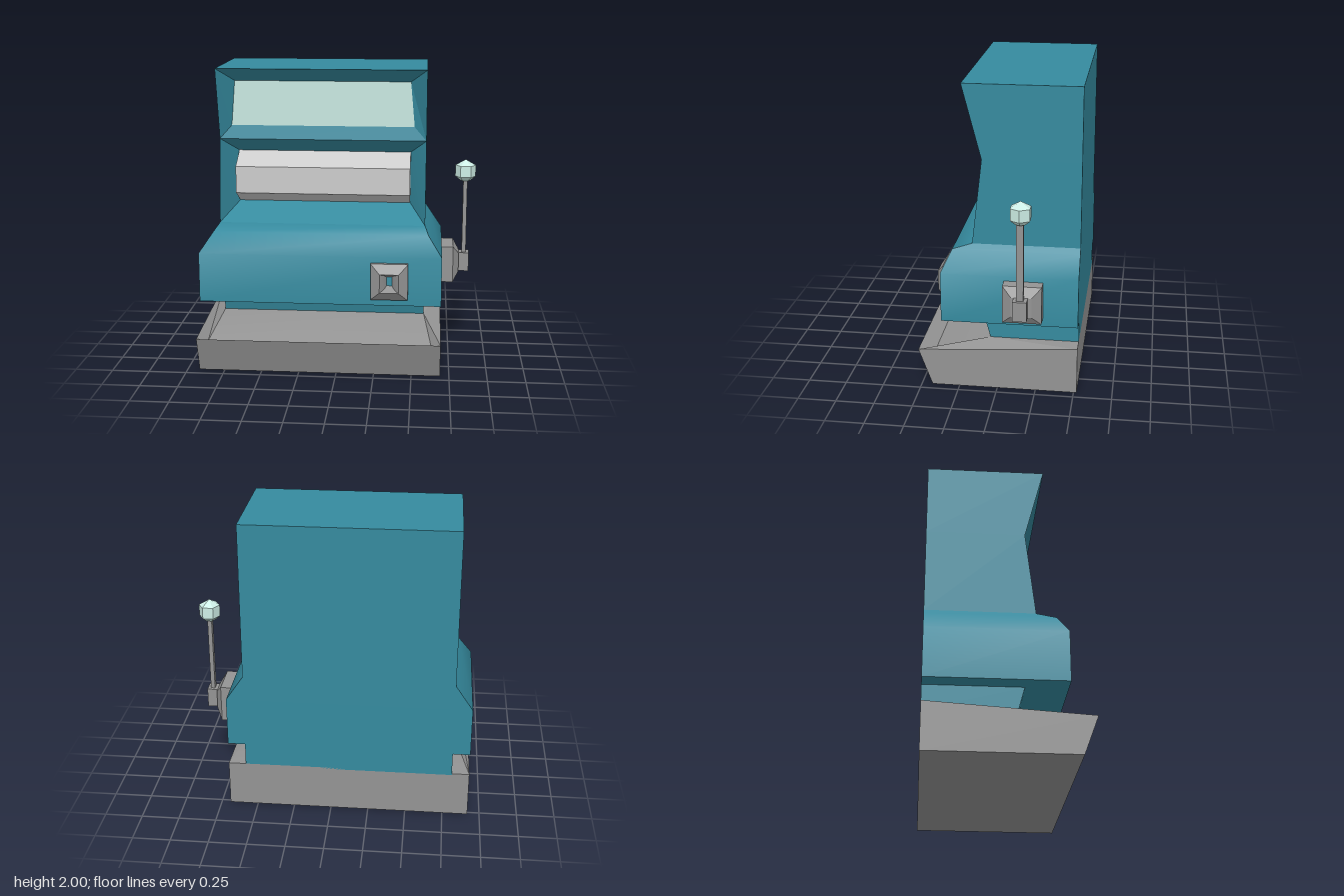
import * as THREE from 'three';
import { toCreasedNormals } from 'three/addons/utils/BufferGeometryUtils.js';

const mat = (color) => new THREE.MeshStandardMaterial({ color });

// Joins rings of corners; each ring runs counter-clockwise seen from the far end.
function loft(rings, { start = false, end = false, skip = -1, crease = 0.3 } = {}) {
  const pos = [];
  const face = (pts) => {
    for (let i = 1; i < pts.length - 1; i++) pos.push(...pts[0], ...pts[i], ...pts[i + 1]);
  };
  for (let r = 0; r < rings.length - 1; r++) {
    const a = rings[r], b = rings[r + 1], n = a.length;
    for (let i = 0; i < n; i++) {
      if (i === skip) continue;
      const j = (i + 1) % n;
      face([a[i], a[j], b[j], b[i]]);
    }
  }
  if (start) face([...rings[0]].reverse());
  if (end) face(rings[rings.length - 1]);
  const g = new THREE.BufferGeometry();
  g.setAttribute('position', new THREE.Float32BufferAttribute(pos, 3));
  g.computeVertexNormals();
  return toCreasedNormals(g, crease);
}

const BACK = -0.52;
// Level rectangle reaching from the back plane to zf
const level = (y, hw, zf) => [[-hw, y, zf], [hw, y, zf], [hw, y, BACK], [-hw, y, BACK]];
// Front-facing trapezoid, given by its lower and upper edges
const front = (y0, z0, h0, y1, z1, h1) => [[-h0, y0, z0], [h0, y0, z0], [h1, y1, z1], [-h1, y1, z1]];
// Upright rectangle centred on the origin, at depth z
const plate = (hx, hy, z) => front(-hy, z, hx, hy, z, hx);

export function createModel() {
  const root = new THREE.Group();
  root.name = 'slotMachine';
  const body = new THREE.Group();
  body.name = 'machine';
  body.position.x = -0.115;
  root.add(body);

  const teal = mat(0x358a9e), dark = mat(0x949494), grey = mat(0xcccccc), pale = mat(0xcdeee6);
  const add = (name, geometry, material, x = 0, y = 0, z = 0) => {
    const m = new THREE.Mesh(geometry, material);
    m.name = name;
    m.position.set(x, y, z);
    body.add(m);
    return m;
  };

  // Base with a sunken coin tray on top
  add('trayBase', loft([
    level(0, 0.805, 0.43),
    [[-0.805, 0.245, 0.52], [0.805, 0.245, 0.52], [0.805, 0.31, BACK], [-0.805, 0.31, BACK]],
    [[-0.745, 0.2, 0.425], [0.745, 0.2, 0.425], [0.69, 0.31, 0.06], [-0.69, 0.31, 0.06]],
  ], { start: true, end: true }), dark);

  // Neck and wide lower cabinet with rounded shoulders
  add('neck', loft([level(0.3, 0.69, 0.057), level(0.46, 0.69, 0.1)]), teal);
  add('lowerCabinet', loft([
    level(0.46, 0.805, 0.365), level(0.79, 0.805, 0.365),
    level(0.925, 0.714, 0.3), level(0.96, 0.69, 0.175),
  ], { start: true, end: true, crease: 0.9 }), teal);

  // Upper cabinet shell, open to the front
  add('upperCabinet', loft([
    level(0.96, 0.69, 0.175), level(1.52, 0.69, 0.11), level(2, 0.69, 0.235),
  ], { end: true, skip: 0 }), teal);

  // Sloping frames around the sign and the reel window
  const sign = front(1.61, 0.09, 0.61, 1.91, 0.11, 0.5825);
  const reelBack = front(1.07, -0.035, 0.585, 1.42, -0.035, 0.585);
  add('signFrame', loft([front(1.52, 0.11, 0.69, 2, 0.235, 0.69), sign]), teal);
  add('signPanel', loft([sign], { end: true }), pale);
  add('reelFrame', loft([front(0.96, 0.175, 0.69, 1.52, 0.11, 0.69), reelBack], { end: true }), teal);

  // Faceted reel drum
  const drum = [[1.155, 0.13], [1.07, -0.035], [1.42, -0.035], [1.335, 0.13]];
  add('reelDrum', loft([-0.585, 0.585].map((x) => drum.map(([y, z]) => [x, y, z])),
    { start: true, end: true }), grey);

  // Coin slot: bevelled plate stepping in to a small hole
  add('coinSlot', loft([
    plate(0.1225, 0.1225, 0), plate(0.1225, 0.1225, 0.025), plate(0.0625, 0.0625, 0.07),
    plate(0.033, 0.047, 0.035), plate(0.018, 0.03, 0.003),
  ]), dark, 0.462, 0.628, 0.365);

  // Lever on the left side: mount, bracket, rod and knob
  const mount = add('leverMount', loft([
    plate(0.125, 0.125, 0), plate(0.125, 0.125, 0.08), plate(0.065, 0.065, 0.12),
  ], { end: true }), dark, 0.805, 0.635, -0.17);
  mount.rotation.y = Math.PI / 2;
  add('leverBracket', new THREE.BoxGeometry(0.075, 0.13, 0.09), dark, 0.957, 0.635, -0.167);
  add('leverRod', new THREE.BoxGeometry(0.028, 0.56, 0.045), dark, 0.96, 0.95, -0.167);
  const knobProfile = [[0, 1.205], [0.035, 1.205], [0.07, 1.235], [0.07, 1.312], [0, 1.352]]
    .map(([r, y]) => new THREE.Vector2(r, y));
  const knobMat = mat(0xcdeee6);
  knobMat.flatShading = true;
  const knob = add('leverKnob', new THREE.LatheGeometry(knobProfile, 6), knobMat, 0.96, 0, -0.17);
  knob.rotation.y = Math.PI / 2;

  return root;
}
